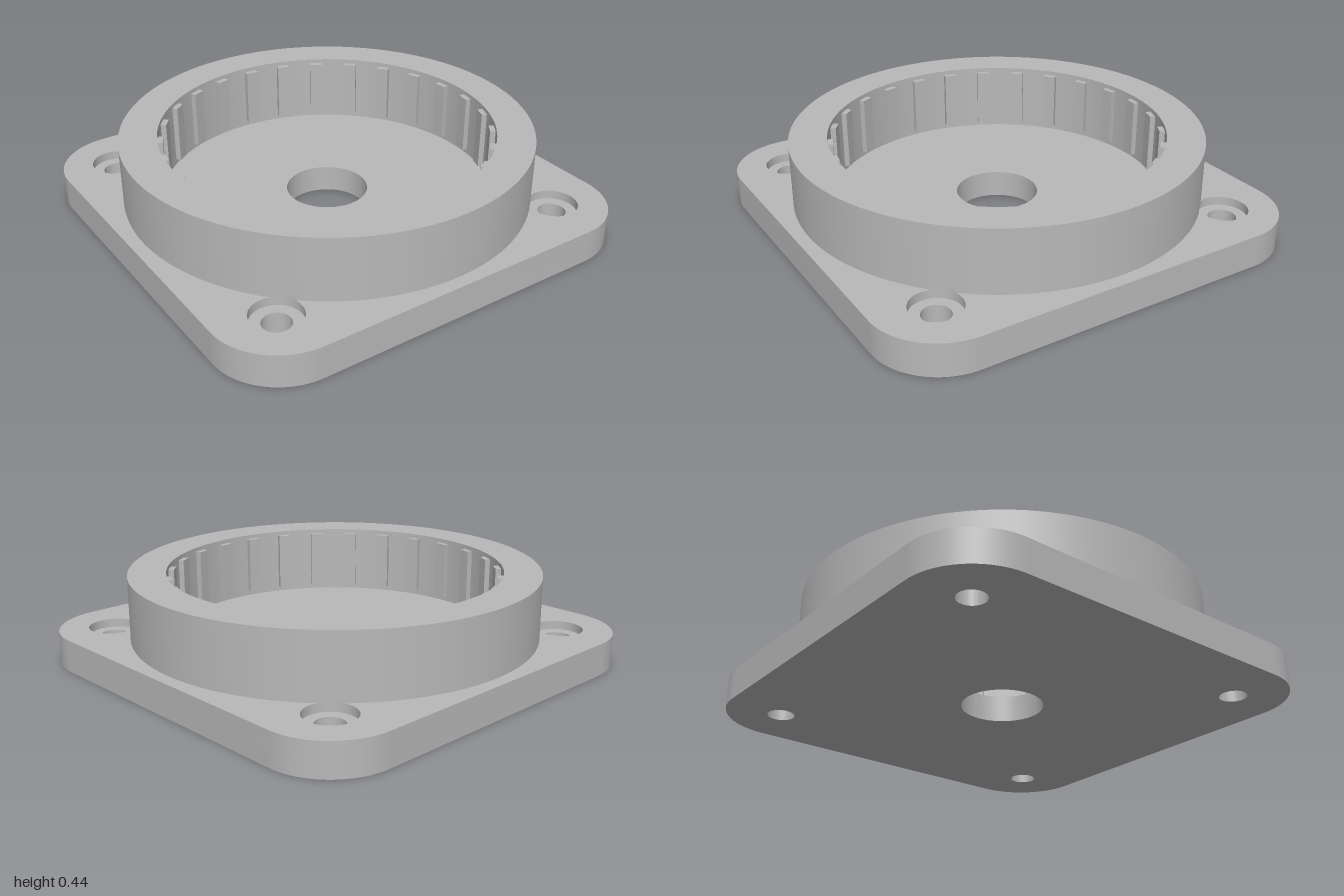
import * as THREE from 'three';
import { toCreasedNormals } from 'three/addons/utils/BufferGeometryUtils.js';

const HOLE_POS = 0.735, SCREW_R = 0.063, BORE_R = 0.113, CENTRE_R = 0.188;
const RING_OUT = 0.94, RING_IN = 0.768, RIBS = 27;

const grey = new THREE.MeshStandardMaterial({ color: 0xb8b8b8 });
grey.name = 'grey plastic';

function circle(x, y, r) {
  const p = new THREE.Path();
  p.absarc(x, y, r, 0, Math.PI * 2, true);
  return p;
}

// Square outline with rounded corners
function plateShape(screwRadius, centreRadius) {
  const s = new THREE.Shape(), c = 0.69;
  [[1, 1], [-1, 1], [-1, -1], [1, -1]].forEach(([x, y], i) => {
    s.absarc(x * c, y * c, 1 - c, i * Math.PI / 2, (i + 1) * Math.PI / 2, false);
    s.holes.push(circle(x * HOLE_POS, y * HOLE_POS, screwRadius));
  });
  s.closePath();
  s.holes.push(circle(0, 0, centreRadius));
  return s;
}

// Ring outline, optionally relieved where the screw heads cut into it
function ringShape(notched) {
  const n = 360, d = HOLE_POS * Math.SQRT2, pts = [];
  for (let i = 0; i < n; i++) {
    const a = i / n * Math.PI * 2;
    const off = (a % (Math.PI / 2)) - Math.PI / 4;
    const k = BORE_R ** 2 - (d * Math.sin(off)) ** 2;
    let r = RING_OUT;
    if (notched && k > 0) r = Math.min(r, d * Math.cos(off) - Math.sqrt(k));
    pts.push(new THREE.Vector2(r * Math.cos(a), r * Math.sin(a)));
  }
  const s = new THREE.Shape(pts);
  s.holes.push(circle(0, 0, RING_IN));
  return s;
}

// Extrude a plan shape upward between two heights
function layer(name, shape, y0, y1) {
  let g = new THREE.ExtrudeGeometry(shape, { depth: y1 - y0, bevelEnabled: false, curveSegments: 64 });
  g.rotateX(-Math.PI / 2);
  g.translate(0, y0, 0);
  g = toCreasedNormals(g, Math.PI / 6);
  const m = new THREE.Mesh(g, grey);
  m.name = name;
  return m;
}

export function createModel() {
  const model = new THREE.Group();
  model.name = 'flangedHousing';

  // Square flange: screw holes, counterbores and the shallow round recess
  const flange = new THREE.Group();
  flange.name = 'flange';
  flange.add(
    layer('flangeBase', plateShape(SCREW_R, CENTRE_R), 0, 0.11),
    layer('flangeFloor', plateShape(BORE_R, CENTRE_R), 0.11, 0.125),
    layer('flangeTop', plateShape(BORE_R, RING_IN), 0.125, 0.15),
  );

  // Round wall with small screw head reliefs at its foot
  const ring = new THREE.Group();
  ring.name = 'ring';
  ring.add(
    layer('ringFoot', ringShape(true), 0.15, 0.165),
    layer('ringWall', ringShape(false), 0.165, 0.445),
  );

  // Grip ribs around the inner wall
  const ribs = new THREE.Group();
  ribs.name = 'ribs';
  const ribGeometry = new THREE.BoxGeometry(0.038, 0.275, 0.06);
  for (let i = 0; i < RIBS; i++) {
    const a = Math.PI + i / RIBS * Math.PI * 2;
    const rib = new THREE.Mesh(ribGeometry, grey);
    rib.name = 'rib';
    rib.position.set(0.761 * Math.cos(a), 0.2875, -0.761 * Math.sin(a));
    rib.rotation.y = a;
    ribs.add(rib);
  }

  model.add(flange, ring, ribs);
  return model;
}
